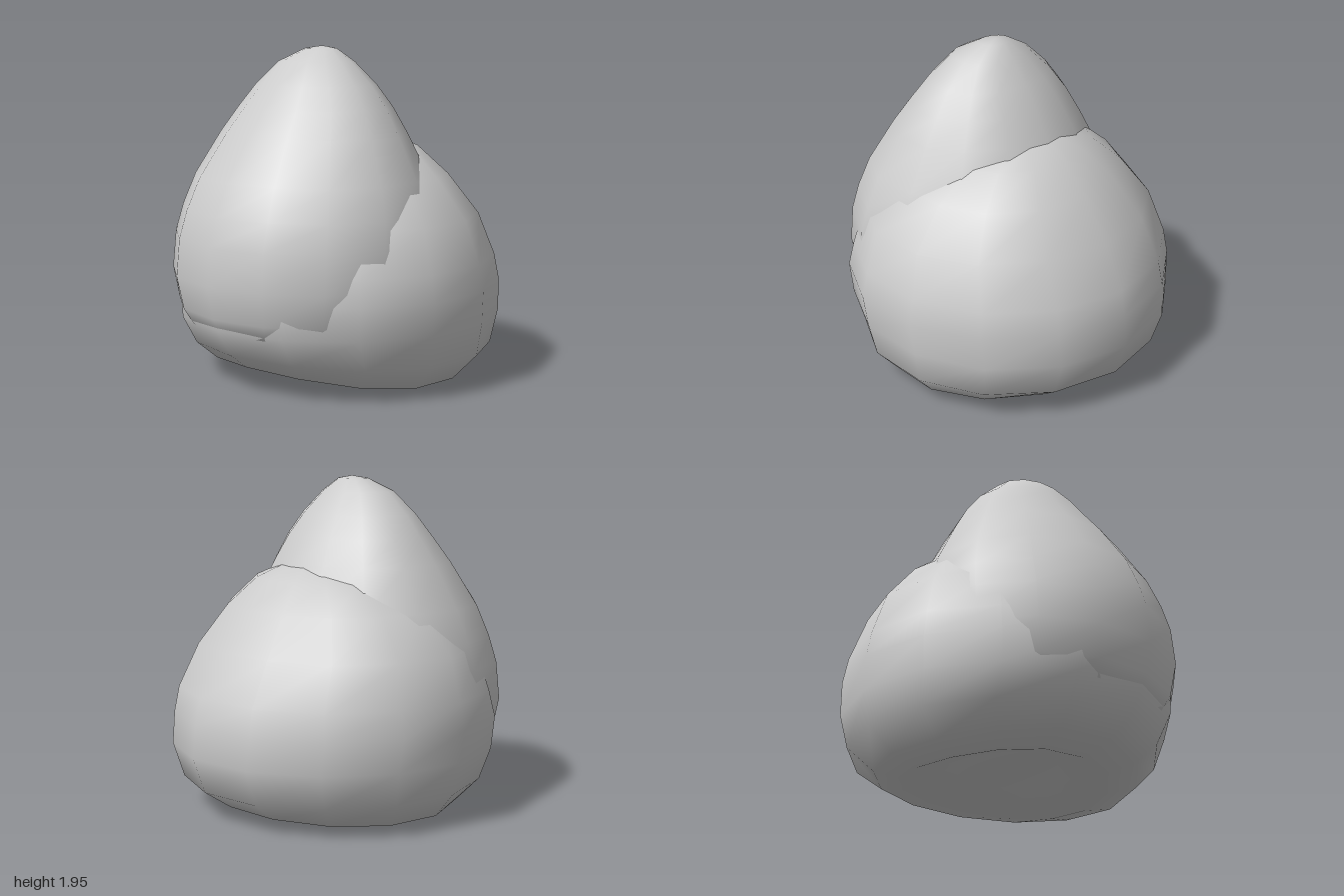
import * as THREE from 'three';

const SIDES = 14;

// Closed smooth skin over rings listed bottom to top.
// Ring: [y, half width, back z, front z, front lift, back lift]; pole: [y, z].
function loft(name, bottom, rings, top) {
  const pos = [0, bottom[0], bottom[1]];
  const idx = [];
  for (const [y, w, zb, zf, liftF = 0, liftB = 0] of rings) {
    for (let j = 0; j < SIDES; j++) {
      const a = (j / SIDES) * Math.PI * 2;
      const c = Math.cos(a);
      pos.push(
        (w / 0.975) * Math.sin(a),
        y + (c > 0 ? liftF : liftB) * c * c,
        (zf + zb) / 2 + ((zf - zb) / 2) * c
      );
    }
  }
  pos.push(0, top[0], top[1]);
  const last = pos.length / 3 - 1;
  const at = (i, j) => 1 + i * SIDES + (j % SIDES);
  for (let j = 0; j < SIDES; j++) {
    idx.push(0, at(0, j + 1), at(0, j));
    for (let i = 0; i < rings.length - 1; i++) {
      const a = at(i, j), b = at(i, j + 1), c = at(i + 1, j + 1), d = at(i + 1, j);
      idx.push(a, b, c, a, c, d);
    }
    idx.push(at(rings.length - 1, j), at(rings.length - 1, j + 1), last);
  }
  const geo = new THREE.BufferGeometry();
  geo.setAttribute('position', new THREE.Float32BufferAttribute(pos, 3));
  geo.setIndex(idx);
  geo.computeVertexNormals();
  const mesh = new THREE.Mesh(geo, new THREE.MeshStandardMaterial({ color: 0xcccccc, roughness: 0.8 }));
  mesh.name = name;
  return mesh;
}

export function createModel() {
  const group = new THREE.Group();
  group.name = 'nut';

  // Rounded husk with a dimpled, slightly saddle-shaped underside
  group.add(loft('husk', [0.15, -0.02], [
    [0.11, 0.28, -0.32, 0.28, 0.02, 0],
    [0.0, 0.6, -0.6, 0.52, 0.07, 0.05],
    [0.04, 0.78, -0.76, 0.71, 0.09, 0.02],
    [0.19, 0.91, -0.925, 0.83, 0.03, -0.02],
    [0.38, 0.94, -1.0, 0.93],
    [0.57, 0.96, -0.98, 0.94],
    [0.72, 0.93, -0.95, 0.9],
    [0.97, 0.86, -0.82, 0.8],
    [1.2, 0.67, -0.65, 0.6],
    [1.36, 0.46, -0.48, 0.3],
    [1.44, 0.24, -0.33, 0.1]
  ], [1.46, -0.12]));

  // Egg-shaped kernel leaning out of the husk towards the front
  group.add(loft('kernel', [0.2, 0.3], [
    [0.24, 0.4, -0.1, 0.7],
    [0.36, 0.68, -0.3, 0.91],
    [0.45, 0.76, -0.42, 0.96],
    [0.64, 0.8, -0.48, 1.0],
    [0.86, 0.79, -0.5, 0.98],
    [1.02, 0.76, -0.5, 0.93],
    [1.2, 0.7, -0.46, 0.85],
    [1.45, 0.57, -0.335, 0.68],
    [1.6, 0.48, -0.25, 0.56],
    [1.73, 0.38, -0.16, 0.46],
    [1.86, 0.24, -0.05, 0.34],
    [1.935, 0.1, 0.03, 0.19]
  ], [1.95, 0.1]));

  return group;
}
